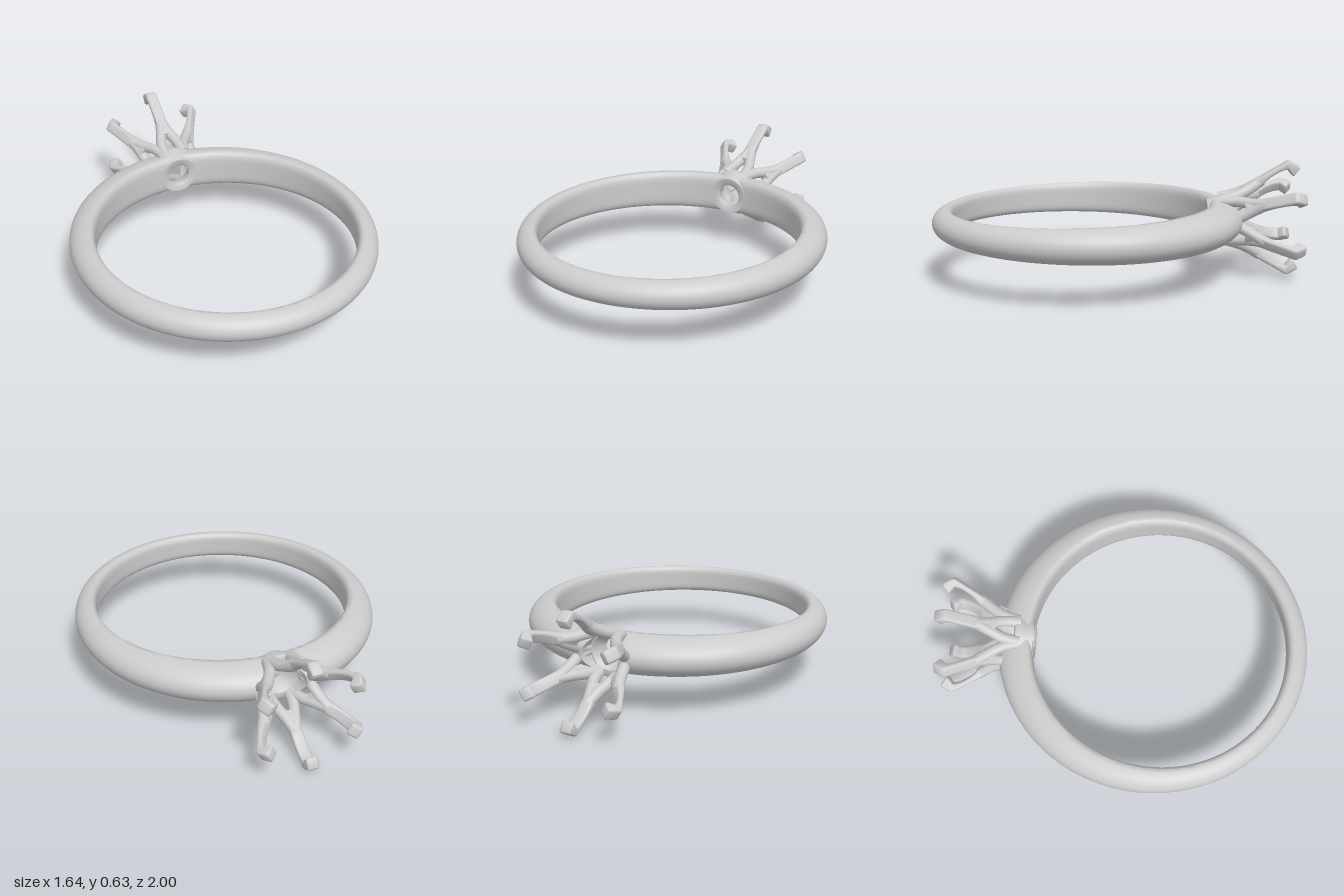
import * as THREE from 'three';
import { toCreasedNormals } from 'three/addons/utils/BufferGeometryUtils.js';

const metal = new THREE.MeshStandardMaterial({ color: 0xcccccc });
const MID_Y = 0.32;    // height of the ring's middle plane
const CENTRE_Z = 0.195; // centre of the finger hole
const INNER_R = 0.695;
const SOCKET_R = 0.1;  // round opening in the band that takes the head

function mesh(name, geometry) {
  const m = new THREE.Mesh(geometry, metal);
  m.name = name;
  return m;
}

// D-shaped band, wider and thicker towards the head, open at the socket
function bandGeometry() {
  const M = 20, N = 160, K = 2 * M + 2;
  const pos = [], idx = [];
  for (let j = 0; j <= N; j++) {
    for (let i = 0; i < K; i++) {
      const outer = i <= M;
      const a = Math.PI * (outer ? i : K - 1 - i) / M;
      const u = Math.cos(a);
      const y0 = 0.106 * u;
      const x0 = Math.sqrt(Math.max(SOCKET_R ** 2 - y0 ** 2, 0));
      const start = Math.asin(x0 / (outer ? 0.8 : INNER_R));
      const theta = start + (2 * Math.PI - 2 * start) * j / N;
      const c = Math.cos(theta);
      const thick = 0.125 + 0.0375 * c + 0.0225 * c * c;
      const d = outer ? 0.02 + (thick - 0.02) * Math.sin(a) : 0.02 * Math.abs(u) ** 6;
      const r = INNER_R + d;
      pos.push(r * Math.sin(theta), MID_Y + (0.09 + 0.016 * c) * u, CENTRE_Z - r * c);
    }
  }
  for (let j = 0; j < N; j++) {
    for (let i = 0; i < K; i++) {
      const a = j * K + i, b = j * K + (i + 1) % K;
      idx.push(a, a + K, b, b, a + K, b + K);
    }
  }
  // end walls inside the socket
  for (let i = 0; i < M; i++) {
    const o = i, o2 = i + 1, n = K - 1 - i, n2 = K - 2 - i, e = N * K;
    idx.push(o, o2, n2, o, n2, n, e + o, e + n2, e + o2, e + o, e + n, e + n2);
  }
  const g = new THREE.BufferGeometry();
  g.setAttribute('position', new THREE.Float32BufferAttribute(pos, 3));
  g.setIndex(idx);
  g.computeVertexNormals();
  return toCreasedNormals(g, 0.9);
}

// Pierced collar that seats the head
function collarGeometry() {
  const profile = [
    [0.062, 0.5], [0.07, 0.493], [0.105, 0.49], [0.116, 0.53], [0.134, 0.572],
    [0.132, 0.585], [0.122, 0.592], [0.095, 0.59], [0.078, 0.56], [0.064, 0.53], [0.062, 0.5],
  ].map(([r, h]) => new THREE.Vector2(r, h));
  return toCreasedNormals(new THREE.LatheGeometry(profile, 48), 0.7);
}

// Prong side outline (radius, height) with a hooked, notched tip
function prongGeometry() {
  const s = new THREE.Shape();
  s.moveTo(0.125, 0.7);
  s.lineTo(0.175, 0.685);
  s.splineThru([[0.205, 0.745], [0.245, 0.81], [0.285, 0.88], [0.312, 0.925]]
    .map(p => new THREE.Vector2(...p)));
  s.quadraticCurveTo(0.32, 0.94, 0.312, 0.955);
  s.lineTo(0.29, 0.992);
  s.quadraticCurveTo(0.283, 1.003, 0.27, 0.997);
  s.lineTo(0.238, 0.972);
  s.quadraticCurveTo(0.23, 0.965, 0.238, 0.956);
  s.lineTo(0.268, 0.933);
  s.splineThru([[0.258, 0.895], [0.225, 0.84], [0.175, 0.785], [0.145, 0.745], [0.125, 0.7]]
    .map(p => new THREE.Vector2(...p)));
  const bevel = 0.013, width = 0.066;
  const g = new THREE.ExtrudeGeometry(s, {
    depth: width - 2 * bevel, bevelSize: bevel, bevelThickness: bevel,
    bevelOffset: -bevel, bevelSegments: 4, curveSegments: 8,
  });
  g.translate(0, 0, bevel - width / 2);
  return toCreasedNormals(g, 0.7);
}

// Curved leg sweeping from a prong down to the collar, side = 1 or -1
function legGeometry(side) {
  const path = [[0.205, 0.79, 0], [0.163, 0.72, 8], [0.138, 0.65, 20], [0.12, 0.565, 28]]
    .map(([r, h, deg]) => {
      const a = side * deg * Math.PI / 180;
      return new THREE.Vector3(r * Math.cos(a), h, r * Math.sin(a));
    });
  return new THREE.TubeGeometry(new THREE.CatmullRomCurve3(path), 20, 0.03, 12);
}

export function createModel() {
  const model = new THREE.Group();
  model.name = 'ring';
  model.add(mesh('band', bandGeometry()));

  // Head, built upright and laid over to point backwards
  const head = new THREE.Group();
  head.name = 'head';
  head.add(mesh('collar', collarGeometry()));
  const prong = prongGeometry();
  const legs = [legGeometry(1), legGeometry(-1)];
  for (let k = 0; k < 6; k++) {
    const claw = new THREE.Group();
    claw.name = 'claw';
    claw.add(mesh('prong', prong));
    legs.forEach(g => claw.add(mesh('prongLeg', g)));
    claw.rotation.y = Math.PI / 6 + k * Math.PI / 3;
    head.add(claw);
  }
  head.rotation.x = -Math.PI / 2;
  head.position.y = MID_Y;
  model.add(head);
  return model;
}
